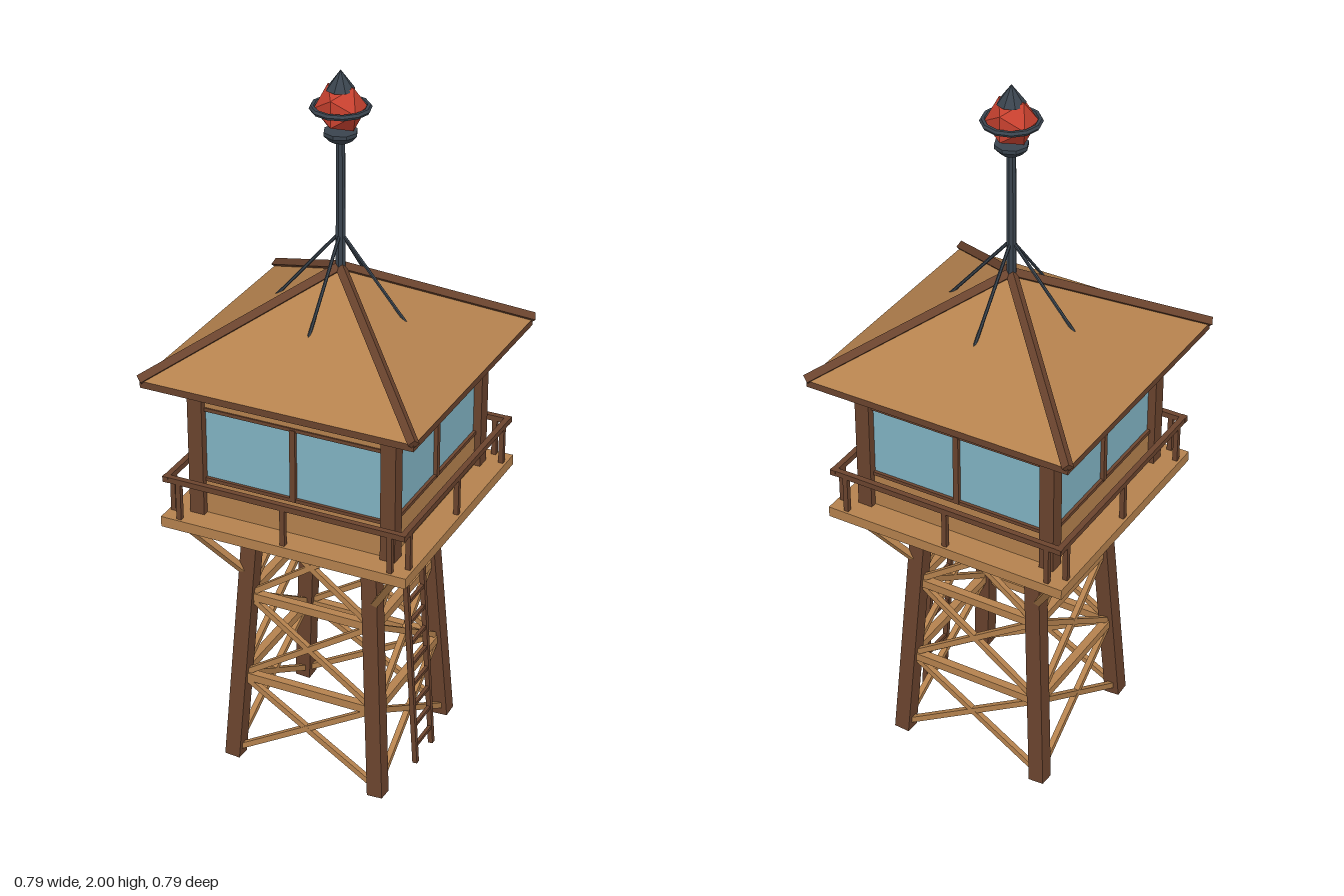
import * as THREE from 'three';

const mat = (color) => new THREE.MeshStandardMaterial({ color, flatShading: true });

export function createModel() {
  const model = new THREE.Group();
  model.name = 'watchtower';
  const dark = mat(0x6b442e), light = mat(0xb5824e), glass = mat(0x82b4c4);
  const metal = mat(0x3a444e), red = mat(0xc8412f);
  const V = (x, y, z) => new THREE.Vector3(x, y, z);
  const UP = V(0, 1, 0);

  function add(name, geometry, material, x = 0, y = 0, z = 0, parent = model) {
    const m = new THREE.Mesh(geometry, material);
    m.name = name;
    m.position.set(x, y, z);
    parent.add(m);
    return m;
  }
  const box = (name, w, h, d, material, x, y, z, parent) =>
    add(name, new THREE.BoxGeometry(w, h, d), material, x, y, z, parent);

  // straight member from a to b, square or round
  function beam(name, a, b, size, material, parent = model, round = false) {
    const len = a.distanceTo(b);
    const g = round ? new THREE.CylinderGeometry(size, size, len, 6) : new THREE.BoxGeometry(size, len, size);
    const mid = a.clone().add(b).multiplyScalar(0.5);
    const m = add(name, g, material, mid.x, mid.y, mid.z, parent);
    m.quaternion.setFromUnitVectors(UP, b.clone().sub(a).normalize());
    return m;
  }

  // group turned to one of the four sides
  function side(name, i) {
    const g = new THREE.Group();
    g.name = name;
    g.rotation.y = i * Math.PI / 2;
    model.add(g);
    return g;
  }

  // half spacing of the legs at height y
  const spread = (y) => 0.22 - 0.048 * y / 0.78;
  const corners = [[1, 1], [-1, 1], [-1, -1], [1, -1]];

  // legs, knee braces, cabin posts and roof hips at each corner
  for (const [sx, sz] of corners) {
    const at = (r, y) => V(sx * r, y, sz * r);
    beam('leg', at(spread(0.002), 0.003), at(spread(0.78), 0.78), 0.045, dark);
    beam('kneeBrace', at(spread(0.58), 0.58), at(0.31, 0.775), 0.018, light);
    box('cabinPost', 0.042, 0.4, 0.042, dark, sx * 0.277, 1.01, sz * 0.277);
    beam('roofHip', at(0.386, 1.225), at(0, 1.462), 0.022, dark);
  }

  // cross bracing between the legs
  const levels = [0.02, 0.265, 0.52, 0.77];
  for (let i = 0; i < 4; i++) {
    const g = side('legBracing', i);
    for (let k = 0; k < 3; k++) {
      const a = levels[k], b = levels[k + 1], ra = spread(a), rb = spread(b);
      beam('crossBrace', V(-ra, a, ra), V(rb, b, rb), 0.016, light, g);
      beam('crossBrace', V(ra, a, ra), V(-rb, b, rb), 0.016, light, g);
      if (k > 0) box('girt', ra * 2, 0.024, 0.024, light, 0, a, ra, g);
    }
  }

  // deck
  box('deckFrame', 0.64, 0.016, 0.64, dark, 0, 0.773, 0);
  box('deck', 0.71, 0.03, 0.71, light, 0, 0.795, 0);

  // cabin core
  box('lowerWall', 0.56, 0.1, 0.56, light, 0, 0.86, 0);
  box('windowGlass', 0.55, 0.21, 0.55, glass, 0, 1.015, 0);
  box('upperWall', 0.56, 0.09, 0.56, light, 0, 1.165, 0);

  // window trim and railing on each side
  for (let i = 0; i < 4; i++) {
    const w = side('windowTrim', i);
    box('mullion', 0.016, 0.21, 0.02, dark, 0, 1.015, 0.276, w);
    for (const y of [0.912, 1.12]) box('windowRail', 0.52, 0.01, 0.014, dark, 0, y, 0.277, w);
    const r = side('railing', i);
    box('handrail', 0.7, 0.016, 0.016, dark, 0, 0.923, 0.341, r);
    for (const x of [-0.305, 0, 0.305]) box('railPost', 0.014, 0.112, 0.014, dark, x, 0.862, 0.341, r);
  }

  // roof: four-sided pyramid on a dark eave board
  box('eave', 0.77, 0.02, 0.77, dark, 0, 1.213, 0);
  const roof = new THREE.ConeGeometry(0.386 * Math.SQRT2, 0.237, 4, 1);
  add('roof', roof.rotateY(Math.PI / 4), light, 0, 1.3415, 0);

  // ladder leaning on the left side
  const ladderX = (y) => 0.259 - 0.05 * y / 0.775;
  for (const z of [-0.053, 0.053])
    beam('ladderRail', V(ladderX(0.01), 0.01, z), V(ladderX(0.775), 0.775, z), 0.014, dark);
  for (let k = 0; k < 11; k++) {
    const y = 0.063 + k * 0.066;
    box('ladderRung', 0.01, 0.01, 0.106, dark, ladderX(y), y, 0);
  }

  // mast with four stays
  add('mast', new THREE.CylinderGeometry(0.012, 0.014, 0.4, 8), metal, 0, 1.625, 0);
  for (let i = 0; i < 4; i++)
    beam('mastStay', V(0, 1.56, 0), V(0, 1.34, 0.187), 0.0045, metal, side('stay', i), true);

  // beacon
  const collar = [[0, 1.812], [0.03, 1.812], [0.045, 1.828], [0.045, 1.838], [0, 1.838]];
  add('beaconCollar', new THREE.LatheGeometry(collar.map(([x, y]) => new THREE.Vector2(x, y)), 8), metal);
  add('beaconLamp', new THREE.IcosahedronGeometry(0.068, 0), red, 0, 1.9, 0);
  const ring = new THREE.TorusGeometry(0.072, 0.008, 6, 12).rotateX(Math.PI / 2);
  add('beaconRing', ring, metal, 0, 1.9, 0);
  add('beaconCap', new THREE.ConeGeometry(0.038, 0.052, 8), metal, 0, 1.974, 0);

  return model;
}
